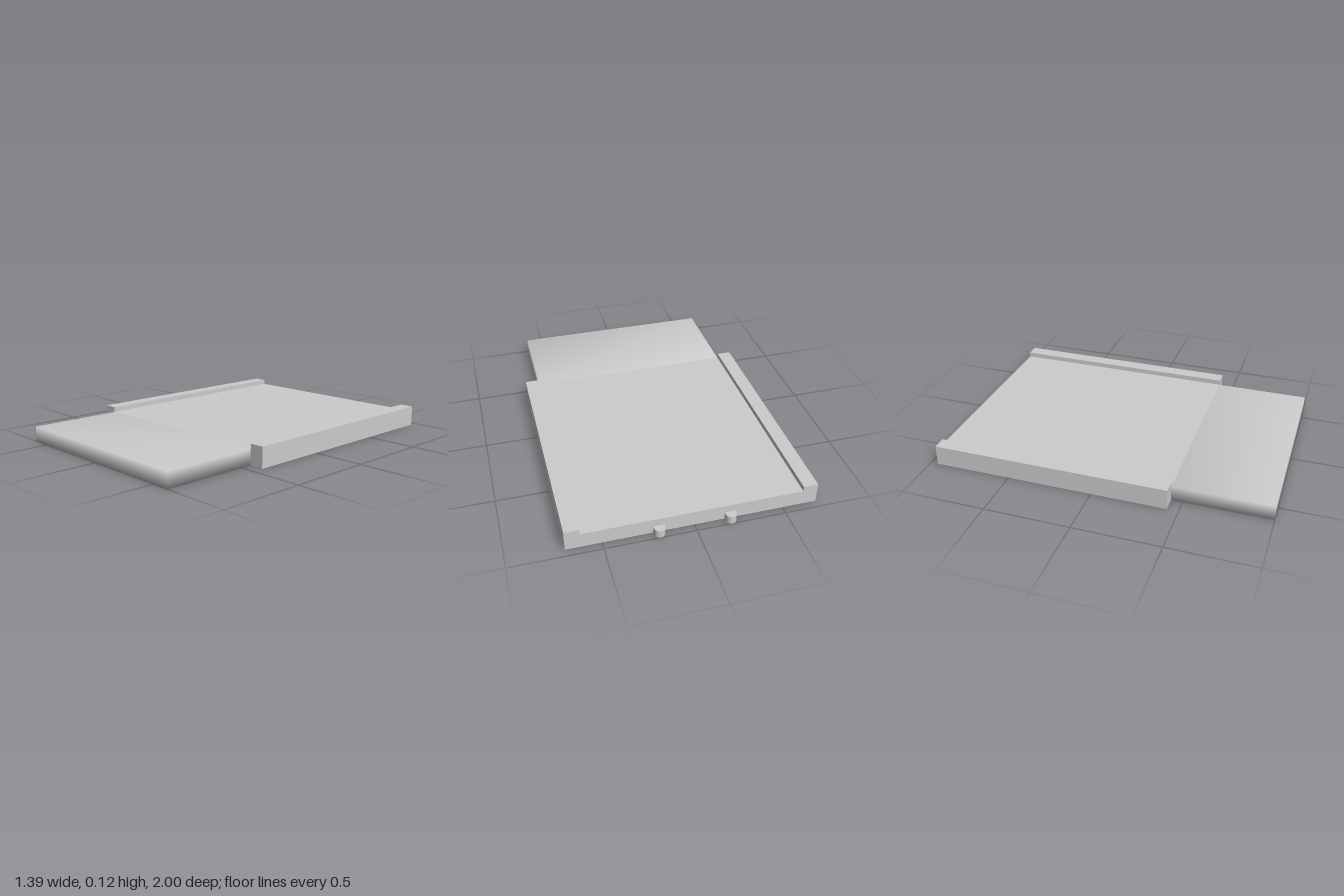
import * as THREE from 'three';
import { mergeVertices } from 'three/addons/utils/BufferGeometryUtils.js';

const material = new THREE.MeshStandardMaterial({ color: 0xcccccc });

function addMesh(group, name, geometry) {
  const mesh = new THREE.Mesh(geometry, material);
  mesh.name = name;
  group.add(mesh);
  return mesh;
}

export function createModel() {
  const group = new THREE.Group();
  group.name = 'slidingTray';

  const half = 0.695, inner = 0.612, railTop = 0.12, deckTop = 0.09;
  const back = -0.955, front = 0.435;

  // Deck with a raised rail along each side: one channel profile
  const profile = new THREE.Shape([
    [-half, 0], [half, 0], [half, railTop], [inner, railTop],
    [inner, deckTop], [-inner, deckTop], [-inner, railTop], [-half, railTop],
  ].map(([x, y]) => new THREE.Vector2(x, y)));
  const deck = new THREE.ExtrudeGeometry(profile, { depth: front - back, bevelEnabled: false });
  addMesh(group, 'railedDeck', deck).position.z = back;

  // Front tongue: a slab with normals shared across its corners
  const box = new THREE.BoxGeometry(2 * 0.61, deckTop, 1 - front);
  box.deleteAttribute('normal');
  box.deleteAttribute('uv');
  const tongue = mergeVertices(box);
  tongue.computeVertexNormals();
  addMesh(group, 'frontTongue', tongue).position.set(0, deckTop / 2, (1 + front) / 2);

  // Two round-nosed pegs at the back
  const r = 0.03, pegHeight = 0.045;
  const peg = new THREE.Shape();
  peg.moveTo(-r, 0);
  peg.lineTo(r, 0);
  peg.lineTo(r, 0.015);
  peg.absarc(0, 0.015, r, 0, Math.PI, false);
  peg.closePath();
  const pegGeometry = new THREE.ExtrudeGeometry(peg, {
    depth: pegHeight, bevelEnabled: false, curveSegments: 10,
  });
  pegGeometry.rotateX(-Math.PI / 2);
  for (const side of [-1, 1]) {
    addMesh(group, side > 0 ? 'leftPeg' : 'rightPeg', pegGeometry).position.set(side * 0.197, 0, back);
  }

  return group;
}
